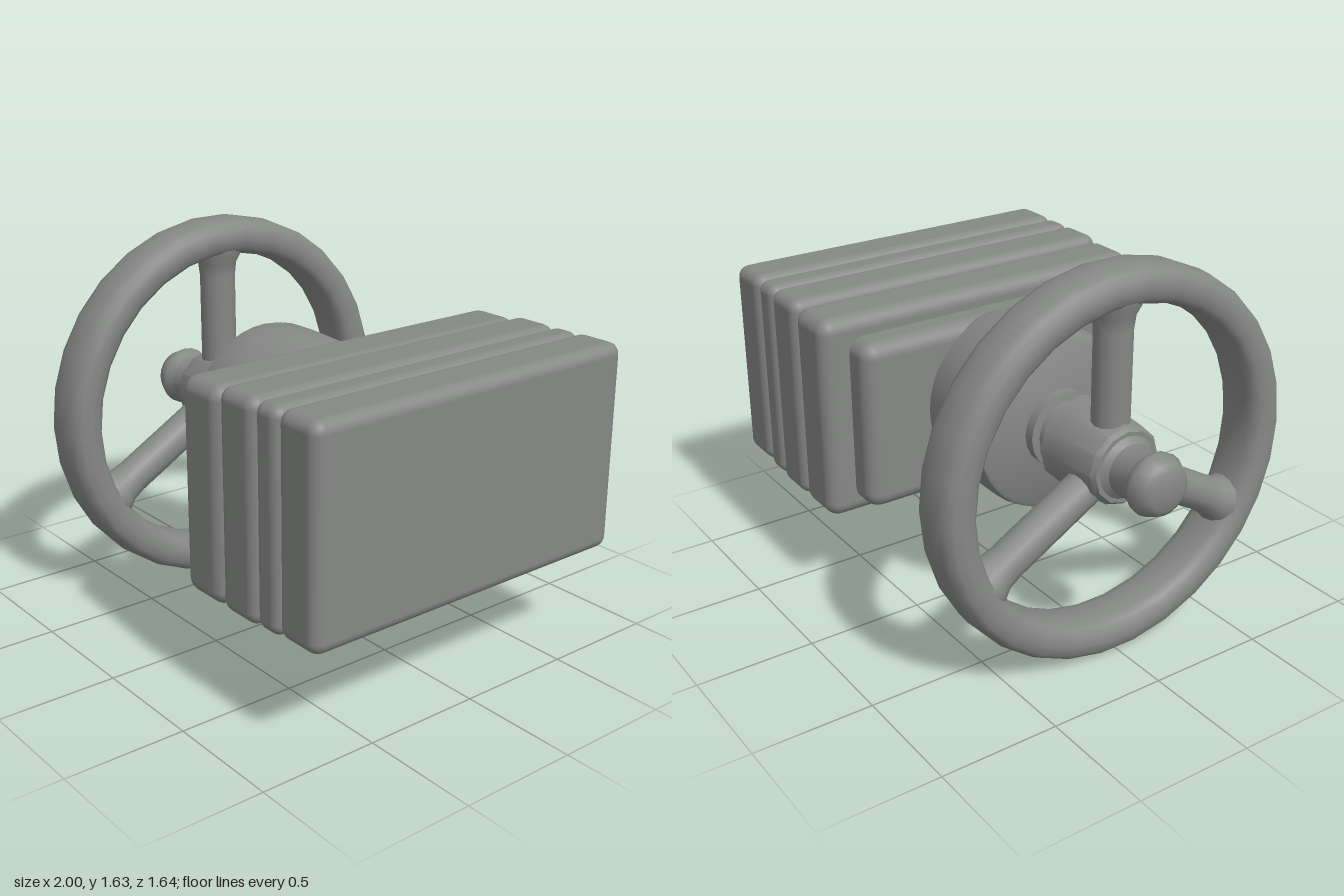
import * as THREE from 'three';
import { toCreasedNormals } from 'three/addons/utils/BufferGeometryUtils.js';
import { RoundedBoxGeometry } from 'three/addons/geometries/RoundedBoxGeometry.js';

const AXIS_Y = 0.845; // height of the shaft axis
const WHEEL_Y = 0.82;
const WHEEL_X = -0.65;

export function createModel() {
  const group = new THREE.Group();
  const metal = new THREE.MeshStandardMaterial({ color: 0x868886 });
  metal.name = 'grey metal';

  function add(name, geometry, x, y, z = 0, parent = group) {
    const mesh = new THREE.Mesh(geometry, metal);
    mesh.name = name;
    mesh.position.set(x, y, z);
    parent.add(mesh);
    return mesh;
  }

  // Turns a [radius, x] profile around the x axis
  function turned(profile, segments) {
    const points = profile.map(([r, x]) => new THREE.Vector2(r, x));
    const geometry = new THREE.LatheGeometry(points, segments).rotateZ(-Math.PI / 2);
    return toCreasedNormals(geometry, 0.7);
  }

  // Housing: stacked rounded plates [name, x0, x1, y0, y1, half depth, radius]
  const plates = [
    ['flangePlate', 0.07, 0.30, 0.47, 1.20, 0.655, 0.065],
    ['innerPlate', 0.20, 0.445, 0.41, 1.285, 0.775, 0.06],
    ['middlePlate', 0.44, 0.655, 0.415, 1.30, 0.775, 0.05],
    ['thinPlate', 0.65, 0.785, 0.425, 1.30, 0.77, 0.045],
    ['outerPlate', 0.78, 1.0, 0.435, 1.305, 0.77, 0.05],
  ];
  for (const [name, x0, x1, y0, y1, d, r] of plates) {
    add(name, new RoundedBoxGeometry(x1 - x0, y1 - y0, d * 2, 3, r), (x0 + x1) / 2, (y0 + y1) / 2);
  }
  // Core filling the grooves between the plates
  add('housingCore', new THREE.BoxGeometry(0.7, 0.78, 1.46), 0.6, 0.86);

  // Drum between housing and wheel
  add('drum', turned([
    [0, -0.32], [0.355, -0.32], [0.37, -0.31], [0.38, -0.27], [0.38, -0.18],
    [0.37, 0.06], [0.355, 0.11], [0, 0.11],
  ], 40), 0, 0.858);

  // Shaft with collar, hub and end knob
  add('shaft', turned([
    [0, -1.0], [0.08, -1.0], [0.105, -0.985], [0.13, -0.93], [0.125, -0.905],
    [0.105, -0.88], [0.105, -0.78], [0.13, -0.76], [0.13, -0.37],
    [0.163, -0.365], [0.163, -0.30], [0, -0.30],
  ], 20), 0, AXIS_Y);
  add('hub', turned([
    [0, -0.76], [0.15, -0.76], [0.165, -0.74], [0.185, -0.52], [0.188, -0.455],
    [0.175, -0.445], [0, -0.445],
  ], 12), 0, AXIS_Y);

  // Handwheel
  const wheel = new THREE.Group();
  wheel.name = 'handwheel';
  wheel.position.set(WHEEL_X, WHEEL_Y, 0);
  group.add(wheel);

  // Rim: soft oblong section
  const soft = (v) => Math.sign(v) * Math.abs(v) ** 0.7;
  const section = [];
  for (let i = 0; i <= 16; i++) {
    const a = (i % 16) / 16 * Math.PI * 2;
    section.push([0.738 + 0.08 * soft(Math.cos(a)), 0.118 * soft(Math.sin(a))]);
  }
  add('rim', turned(section, 30), 0, 0, 0, wheel);

  // Three spokes flaring into the rim
  const spokeProfile = [[0.078, 0.05], [0.078, 0.56], [0.085, 0.62], [0.105, 0.66], [0.105, 0.70]]
    .map(([r, y]) => new THREE.Vector2(r, y));
  for (let i = 0; i < 3; i++) {
    const spoke = add('spoke', new THREE.LatheGeometry(spokeProfile, 14), 0, 0, 0, wheel);
    spoke.rotation.x = i * Math.PI * 2 / 3;
  }

  return group;
}
